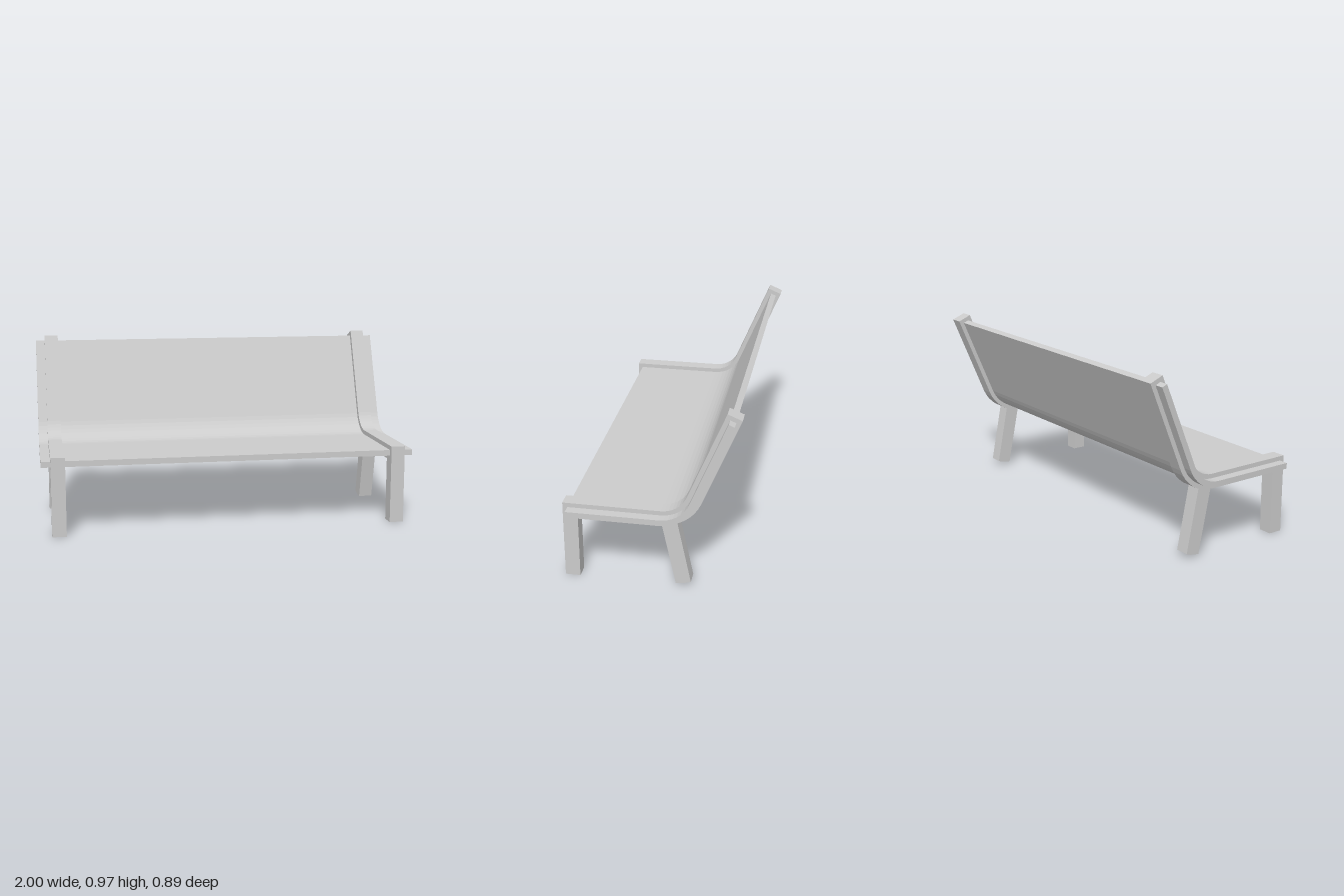
import * as THREE from 'three';

const MID_Y = 0.381;      // centre line height of the seat
const BEND_AT = 0.05;     // depth where the bend begins (depth = -z)
const RADIUS = 0.18;      // bend radius of the centre line
const ANGLE = THREE.MathUtils.degToRad(67.4);
const BEND_STEPS = 8;

const material = new THREE.MeshStandardMaterial({ color: 0xcccccc, flatShading: true });

// Seat-to-back line, shifted sideways from the centre line by offset
function bentLine(offset, front, backLength) {
  const r = RADIUS - offset;
  const cy = MID_Y + RADIUS;
  const points = [new THREE.Vector2(front, MID_Y + offset)];
  for (let i = 0; i <= BEND_STEPS; i++) {
    const a = ANGLE * i / BEND_STEPS;
    points.push(new THREE.Vector2(BEND_AT + r * Math.sin(a), cy - r * Math.cos(a)));
  }
  const end = points[points.length - 1];
  points.push(new THREE.Vector2(
    end.x + Math.cos(ANGLE) * backLength,
    end.y + Math.sin(ANGLE) * backLength));
  return points;
}

// Closed bent strip of constant thickness
function bentStrip(thickness, front, backLength) {
  const lower = bentLine(-thickness / 2, front, backLength);
  const upper = bentLine(thickness / 2, front, backLength);
  return [...lower, ...upper.reverse()];
}

// Side profile (depth, height) extruded across x, centred on x
function profileMesh(name, points, width, x) {
  const geometry = new THREE.ExtrudeGeometry(new THREE.Shape(points), { depth: width, bevelEnabled: false });
  geometry.translate(0, 0, -width / 2);
  geometry.rotateY(Math.PI / 2);
  const mesh = new THREE.Mesh(geometry, material);
  mesh.name = name;
  mesh.position.x = x;
  return mesh;
}

const toPoints = (pairs) => pairs.map(([d, y]) => new THREE.Vector2(d, y));

export function createModel() {
  const bench = new THREE.Group();
  bench.name = 'bench';

  // One bent sheet forms seat and backrest
  bench.add(profileMesh('seatAndBackPanel', bentStrip(0.031, -0.423, 0.482), 2, 0));

  const frontLeg = toPoints([[-0.448, 0], [-0.371, 0], [-0.371, 0.342], [-0.448, 0.342]]);
  // Splayed leg with a slightly rounded foot
  const backLeg = toPoints([
    [0.126, 0.009], [0.15, 0.011], [0.176, 0.016], [0.203, 0.025],
    [0.135, 0.362], [0.1, 0.349], [0.057, 0.342],
  ]);

  // Side frames
  for (const [side, sign] of [['left', 1], ['right', -1]]) {
    const frame = new THREE.Group();
    frame.name = side + 'Frame';
    frame.position.x = sign * 0.9125;
    frame.add(
      profileMesh('bentRail', bentStrip(0.078, -0.448, 0.505), 0.075, 0),
      profileMesh('frontLeg', frontLeg, 0.075, 0),
      profileMesh('backLeg', backLeg, 0.075, 0));
    bench.add(frame);
  }
  return bench;
}
